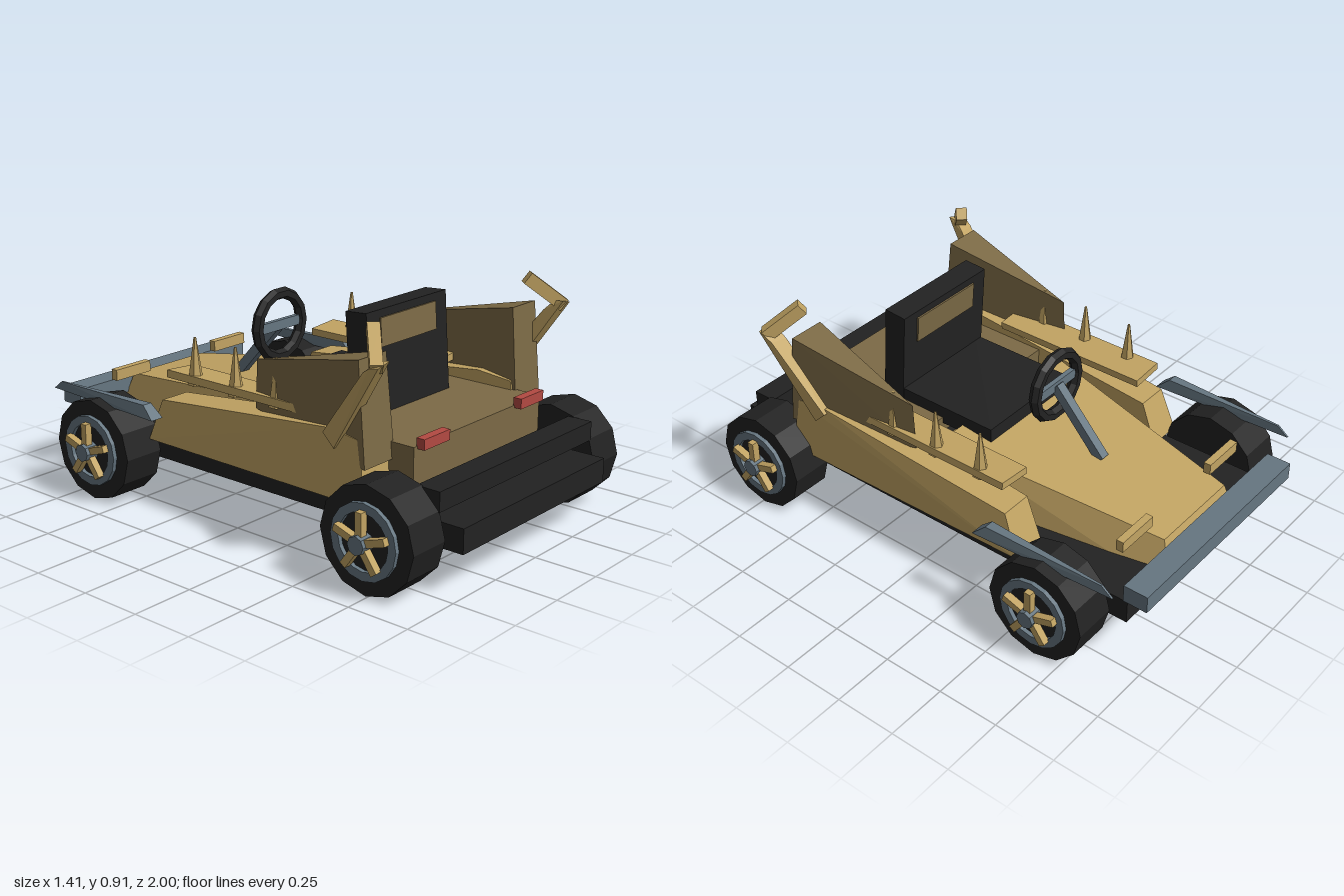
import * as THREE from 'three';
import { ConvexGeometry } from 'three/addons/geometries/ConvexGeometry.js';

const mat = (name, color) => {
  const m = new THREE.MeshStandardMaterial({ color, flatShading: true });
  m.name = name;
  return m;
};

export function createModel() {
  const sand = mat('sand', 0xc2a463);
  const brown = mat('brown', 0x7c6a46);
  const black = mat('black', 0x222222);
  const slate = mat('slate', 0x667681);
  const red = mat('red', 0xb34a42);
  const kart = new THREE.Group();
  kart.name = 'kart';

  const add = (name, geometry, material, parent = kart) => {
    const mesh = new THREE.Mesh(geometry, material);
    mesh.name = name;
    parent.add(mesh);
    return mesh;
  };
  // Box from its minimum and maximum corners
  const box = (name, material, [x0, y0, z0], [x1, y1, z1], parent = kart) => {
    const mesh = add(name, new THREE.BoxGeometry(Math.abs(x1 - x0), y1 - y0, z1 - z0), material, parent);
    mesh.position.set((x0 + x1) / 2, (y0 + y1) / 2, (z0 + z1) / 2);
    return mesh;
  };
  // Convex solid from corner points, mirrored by side
  const solid = (name, material, points, side = 1) =>
    add(name, new ConvexGeometry(points.map(([x, y, z]) => new THREE.Vector3(x * side, y, z))), material);
  // Square bar between two points
  const bar = (name, material, a, b, width, depth) => {
    const from = new THREE.Vector3(...a), to = new THREE.Vector3(...b);
    const mesh = add(name, new THREE.BoxGeometry(width, depth, from.distanceTo(to)), material);
    mesh.position.copy(from).lerp(to, 0.5);
    mesh.lookAt(to);
    return mesh;
  };

  // Chassis and bumpers
  box('chassis', black, [-0.45, 0.16, -0.9], [0.45, 0.255, 1]);
  box('rearBar', black, [-0.48, 0.3, 0.82], [0.48, 0.375, 0.92]);
  box('frontBumper', slate, [-0.48, 0.285, -1], [0.48, 0.355, -0.9]);

  // Nose, cockpit and rear deck
  const nose = [];
  for (const s of [-1, 1]) {
    nose.push([0.2 * s, 0.365, -0.88], [0.24 * s, 0.18, -0.94], [0.24 * s, 0.18, -0.9],
      [0.36 * s, 0.475, 0.03], [0.39 * s, 0.25, 0.03]);
  }
  solid('nose', sand, nose);
  box('cockpitWall', sand, [-0.37, 0.25, 0.02], [0.37, 0.44, 0.065]);
  box('cockpitFloor', black, [-0.385, 0.25, 0.065], [0.385, 0.4, 0.14]);
  box('rearDeck', brown, [-0.39, 0.265, 0.13], [0.39, 0.465, 0.74]);

  // Seat
  box('seatCushion', black, [-0.235, 0.44, -0.11], [0.235, 0.515, 0.36]);
  const back = new THREE.Group();
  back.name = 'seatBack';
  back.position.set(0, 0.46, 0.38);
  back.rotation.x = -0.07;
  kart.add(back);
  box('backrest', black, [-0.238, 0, -0.048], [0.238, 0.388, 0.048], back);
  box('headrestPanel', brown, [-0.165, 0.25, -0.055], [0.165, 0.358, 0.055], back);

  // Steering
  const wheelRim = add('steeringWheel', new THREE.TorusGeometry(0.128, 0.024, 6, 14), black);
  wheelRim.position.set(0, 0.65, -0.235);
  box('steeringCrossbar', slate, [-0.12, 0.63, -0.245], [0.12, 0.67, -0.225]);
  bar('steeringColumn', slate, [0, 0.65, -0.24], [0, 0.41, -0.46], 0.038, 0.04);

  // Parts repeated on both sides
  for (const s of [1, -1]) {
    const pod = [];
    for (const [z, y, outer] of [[0.64, 0.26, 0.54], [0.62, 0.5, 0.535], [0.47, 0.515, 0.53],
      [-0.39, 0.425, 0.5], [-0.455, 0.255, 0.515]]) {
      pod.push([0.37, y, z], [outer, y, z]);
    }
    solid('sidePod', sand, pod, s);

    // Wedge fin with a raked strut and bent horn
    solid('rearFin', brown, [
      [0.385, 0.785, 0.61], [0.535, 0.785, 0.61], [0.375, 0.4, 0.645], [0.54, 0.4, 0.645],
      [0.46, 0.67, 0.075], [0.46, 0.48, 0.065],
    ], s);
    solid('finStrut', sand, [
      [0.53, 0.8, 0.7], [0.59, 0.785, 0.7], [0.53, 0.805, 0.74], [0.585, 0.79, 0.735],
      [0.52, 0.76, 0.66], [0.585, 0.765, 0.67],
      [0.49, 0.5, 0.46], [0.545, 0.5, 0.46], [0.49, 0.45, 0.51], [0.545, 0.45, 0.51],
    ], s);
    bar('finHorn', sand, [0.57 * s, 0.78, 0.715], [0.465 * s, 0.89, 0.615], 0.045, 0.05);

    // Spiked rail
    const rail = box('spikeRail', sand, [0.35 * s, 0.512, -0.37], [0.49 * s, 0.542, 0.31]);
    rail.rotation.z = 0.08 * s;
    for (const z of [-0.245, -0.035, 0.17]) {
      const spike = add('spike', new THREE.CylinderGeometry(0.005, 0.032, 0.185, 6), sand);
      spike.position.set(0.46 * s, 0.6, z);
    }

    // Front guards, nose pegs and tail lights
    solid('frontGuard', slate, [
      [0.558, 0.38, -0.33], [0.615, 0.38, -0.33], [0.565, 0.43, -0.385], [0.605, 0.43, -0.385],
      [0.58, 0.42, -0.88], [0.588, 0.42, -0.88], [0.58, 0.385, -0.925], [0.588, 0.385, -0.925],
    ], s);
    box('nosePeg', sand, [0.19 * s, 0.39, -0.82], [0.375 * s, 0.435, -0.79]);
    box('tailLight', red, [0.222 * s, 0.455, 0.735], [0.37 * s, 0.495, 0.77]);

    // Wheels, built along +y then laid on their side
    for (const z of [-0.64, 0.74]) {
      const wheel = new THREE.Group();
      wheel.name = 'wheel';
      wheel.position.set(0, 0.203, z);
      wheel.rotation.z = -s * Math.PI / 2;
      kart.add(wheel);
      const disc = (name, material, radius, y0, y1, sides) => {
        const mesh = add(name, new THREE.CylinderGeometry(radius, radius, y1 - y0, sides), material, wheel);
        mesh.position.y = (y0 + y1) / 2;
      };
      disc('tyre', black, 0.203, 0.475, 0.648, 12);
      disc('axle', slate, 0.025, 0.4, 0.48, 8);
      disc('hub', slate, 0.035, 0.64, 0.705, 8);
      const ring = [[0.108, 0.645], [0.142, 0.645], [0.142, 0.665], [0.108, 0.665], [0.108, 0.645]];
      add('rim', new THREE.LatheGeometry(ring.map(([r, y]) => new THREE.Vector2(r, y)), 16), slate, wheel);
      for (let i = 0; i < 5; i++) {
        const arm = new THREE.Group();
        arm.name = 'spokeArm';
        // One spoke points straight up
        arm.rotation.y = (i / 5) * Math.PI * 2 + (s > 0 ? Math.PI : 0);
        wheel.add(arm);
        box('spoke', sand, [0.02, 0.66, -0.014], [0.115, 0.69, 0.014], arm);
      }
    }
  }
  return kart;
}
